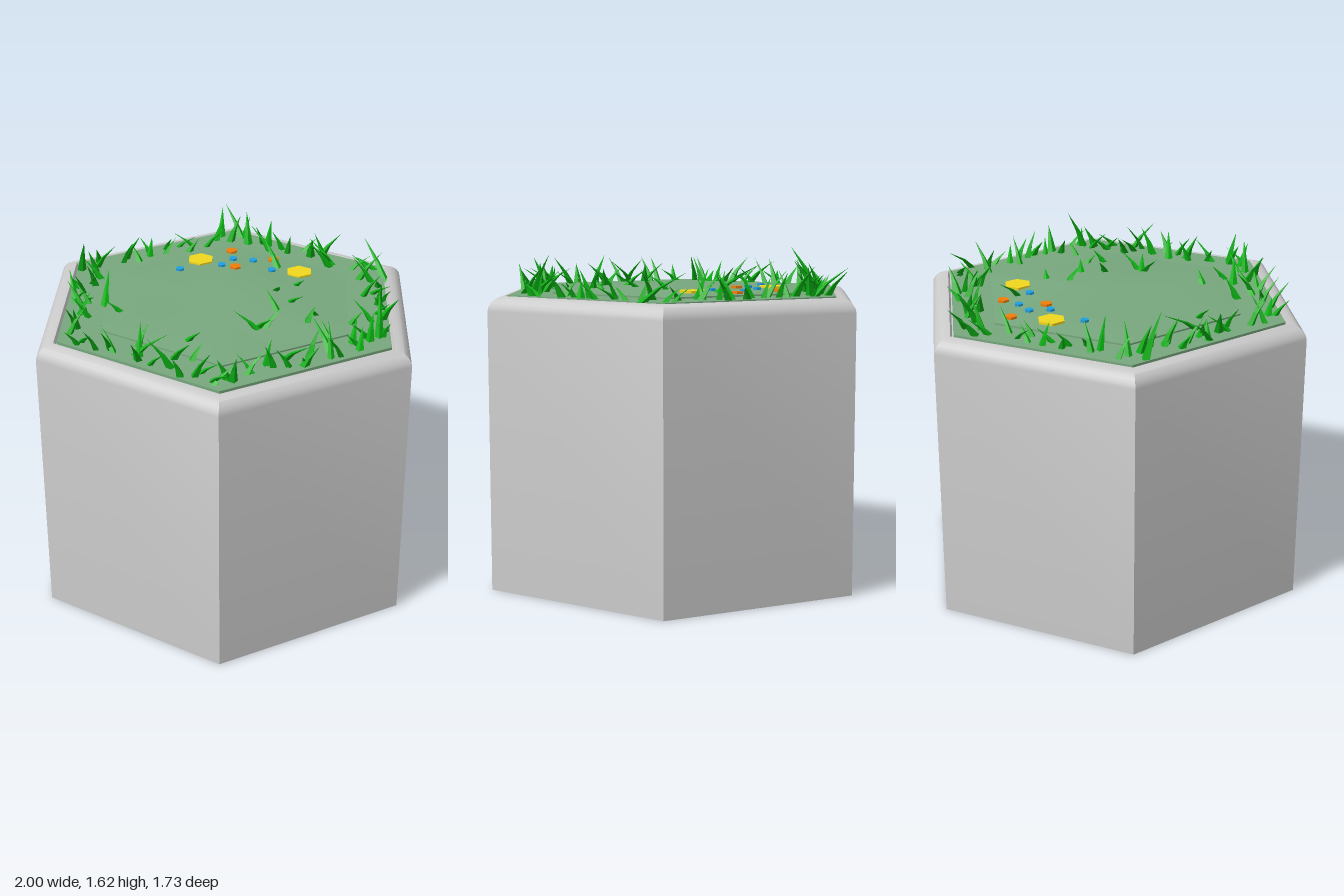
import * as THREE from 'three';
import { mergeGeometries, toCreasedNormals } from 'three/addons/utils/BufferGeometryUtils.js';

const SIXTH = Math.PI / 3;
const INNER = 0.67; // corner radius of the raised lawn

// Hexagon (corners on +-x): edge distance at an angle, relative to its corner radius
function hexEdge(a) {
  const m = ((a % SIXTH) + SIXTH) % SIXTH;
  return Math.cos(SIXTH / 2) / Math.cos(m - SIXTH / 2);
}

// Corner radius of the hexagon that passes through a point
const hexRadius = (x, z) => Math.hypot(x, z) / hexEdge(Math.atan2(z, x));

// Gently rolling height of the lawn
function groundHeight(x, z) {
  const t = hexRadius(x, z) / INNER;
  if (t > 1) return 1.422;
  const wave = 0.7 + 0.3 * Math.sin(5 * x + 3 * z) * Math.cos(4 * z - 2 * x);
  return 1.43 + 0.03 * wave * (1 - t * t);
}

function seeded(seed) {
  return () => {
    seed = (seed * 1664525 + 1013904223) % 4294967296;
    return seed / 4294967296;
  };
}

function add(group, name, geometry, color, options = {}) {
  const mesh = new THREE.Mesh(geometry, new THREE.MeshStandardMaterial({ color, ...options }));
  mesh.name = name;
  group.add(mesh);
  return mesh;
}

// One bent, tapering blade from its foot to a tip offset by (dx, dz)
function bladeGeometry(x, z, dx, dz, height, width) {
  const g = new THREE.ConeGeometry(width, 1, 4, 2).toNonIndexed();
  g.translate(0, 0.5, 0);
  g.rotateY(-Math.atan2(dz, dx));
  const p = g.attributes.position;
  const base = groundHeight(x, z) - 0.015;
  for (let i = 0; i < p.count; i++) {
    const t = p.getY(i);
    const lean = 0.6 * t + 0.4 * t * t;
    p.setXYZ(i, x + p.getX(i) + dx * lean, base + t * height, z + p.getZ(i) + dz * lean);
  }
  g.computeVertexNormals();
  return g;
}

export function createModel() {
  const model = new THREE.Group();
  model.name = 'hexGrassTile';

  // Stone block with a rounded upper edge and a shallow seat for the turf
  const profile = [
    [0, 0], [1, 0], [1, 1.35], [0.995, 1.37], [0.98, 1.39], [0.96, 1.406],
    [0.935, 1.416], [0.91, 1.418], [0.9, 1.4], [0, 1.4],
  ].map(([r, y]) => new THREE.Vector2(r, y));
  const block = new THREE.LatheGeometry(profile, 6, Math.PI / 2);
  add(model, 'stoneBlock', toCreasedNormals(block, 0.6), 0xcccccc);

  // Flat turf border
  const turf = new THREE.CylinderGeometry(0.893, 0.893, 0.024, 6, 1, false, Math.PI / 2);
  turf.translate(0, 1.41, 0);
  add(model, 'turfBorder', turf, 0x78a87e, { flatShading: true });

  // Raised, softly rolling middle with a small step around it
  const lawn = new THREE.RingGeometry(0.001, INNER, 48, 12).rotateX(-Math.PI / 2);
  const lp = lawn.attributes.position;
  for (let i = 0; i < lp.count; i++) {
    const k = hexEdge(Math.atan2(lp.getZ(i), lp.getX(i))) * 0.9999;
    const x = lp.getX(i) * k, z = lp.getZ(i) * k;
    lp.setXYZ(i, x, groundHeight(x, z), z);
  }
  lawn.computeVertexNormals();
  add(model, 'lawn', lawn, 0x78a87e);
  const step = new THREE.CylinderGeometry(INNER, INNER, 0.012, 6, 1, true, Math.PI / 2);
  step.translate(0, 1.424, 0);
  add(model, 'lawnStep', step, 0x78a87e, { flatShading: true });

  // Flat hexagonal flowers
  const flowers = new THREE.Group();
  flowers.name = 'flowers';
  model.add(flowers);
  const kinds = [
    ['yellowFlower', 0xf2d81e, 0.068, [[0.095, -0.47], [0.46, -0.1]]],
    ['orangeFlower', 0xf07d0a, 0.03, [[0.29, -0.5], [0.205, -0.3], [0.43, -0.31]]],
    ['blueFlower', 0x1f9fe0, 0.022,
      [[-0.05, -0.415], [0.155, -0.355], [0.245, -0.4], [0.33, -0.34], [0.35, -0.185]]],
  ];
  for (const [name, color, radius, spots] of kinds) {
    const disc = new THREE.CylinderGeometry(radius, radius, 0.012, 6, 1, false, Math.PI / 2);
    for (const [x, z] of spots) {
      const flower = add(flowers, name, disc, color, { flatShading: true });
      flower.position.set(x, groundHeight(x, z) + 0.005, z);
    }
  }

  // Placed blades: foot x, z, lean x, z, height
  const placed = [
    [-0.02, 0.36, -0.1, -0.07, 0.1], [0, 0.36, 0.1, 0, 0.1], [-0.02, 0.33, 0.03, 0.09, 0.08],
    [-0.37, 0.29, 0.05, 0.06, 0.07], [-0.43, 0.46, 0.07, -0.02, 0.08],
    [0.14, 0.25, -0.01, -0.1, 0.09], [0.24, 0.17, 0.04, 0.08, 0.06], [0.25, 0.03, -0.03, 0.1, 0.07],
    [0.36, 0.02, 0.03, 0.05, 0.05], [0.21, 0.4, 0.06, -0.02, 0.08], [0.3, 0.34, -0.05, 0.04, 0.06],
    [0.4, 0.47, 0.06, 0.03, 0.08], [0.4, -0.2, 0.01, -0.18, 0.12], [0.44, -0.66, -0.01, -0.17, 0.15],
    [0.83, 0.12, 0.01, -0.22, 0.15], [0.69, -0.14, -0.09, -0.11, 0.14],
    [-0.55, -0.23, 0.11, -0.18, 0.12], [-0.65, -0.34, 0.03, -0.14, 0.13],
    [-0.5, -0.13, -0.07, -0.03, 0.07], [-0.64, 0.28, 0.14, 0.1, 0.13],
    [0.17, 0.7, 0, -0.19, 0.13], [-0.05, 0.63, 0.06, 0.14, 0.12], [0.3, 0.66, 0.08, -0.09, 0.1],
    [-0.43, 0.66, 0.01, 0.15, 0.1], [-0.47, -0.69, -0.03, 0.12, 0.21], [0.45, 0.66, 0.05, -0.09, 0.21],
  ];
  const blades = placed.map(([x, z, dx, dz, h]) => bladeGeometry(x, z, dx, dz, h, 0.024));

  // Scattered blades along the border
  const rand = seeded(7);
  const count = 92;
  for (let i = 0; i < count; i++) {
    const a = ((i + rand() * 0.9) / count) * Math.PI * 2;
    const r = (0.7 + 0.17 * Math.sqrt(rand())) * hexEdge(a);
    const dir = rand() * Math.PI * 2;
    const lean = 0.05 + 0.07 * rand();
    const height = 0.07 + 0.09 * rand();
    blades.push(bladeGeometry(r * Math.cos(a), r * Math.sin(a),
      lean * Math.cos(dir), lean * Math.sin(dir), height, 0.018 + 0.009 * rand()));
  }
  add(model, 'grassBlades', mergeGeometries(blades), 0x0cae14, { flatShading: true });

  return model;
}
